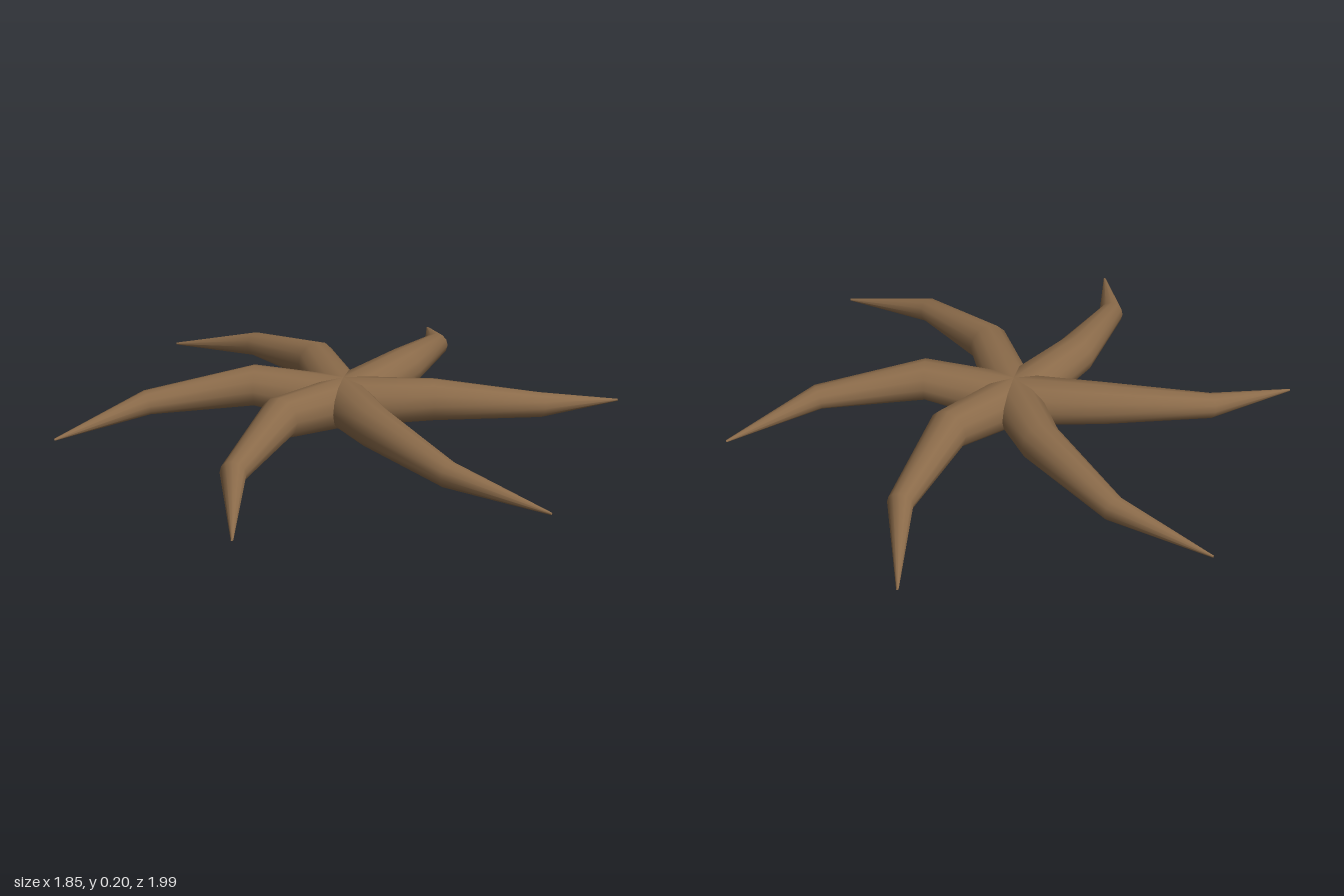
import * as THREE from 'three';

const SIDES = 12;

// Tapered tube through the given stations [x, y, z, radius], one ring per station
function taperedTube(stations) {
  const centres = stations.map(([x, y, z]) => new THREE.Vector3(x, y, z));
  const dirs = centres.slice(1).map((p, i) => p.clone().sub(centres[i]).normalize());
  const up = new THREE.Vector3(0, 1, 0);
  const positions = [], indices = [];

  centres.forEach((centre, i) => {
    // Each ring bisects the bend between its two segments
    const before = dirs[Math.max(i - 1, 0)];
    const after = dirs[Math.min(i, dirs.length - 1)];
    const tangent = before.clone().add(after).normalize();
    const side = new THREE.Vector3().crossVectors(tangent, up).normalize();
    const top = new THREE.Vector3().crossVectors(side, tangent);
    for (let j = 0; j < SIDES; j++) {
      const a = (j / SIDES) * Math.PI * 2;
      const p = centre.clone()
        .addScaledVector(side, Math.cos(a) * stations[i][3])
        .addScaledVector(top, Math.sin(a) * stations[i][3]);
      positions.push(p.x, p.y, p.z);
    }
  });

  for (let i = 0; i < stations.length - 1; i++) {
    for (let j = 0; j < SIDES; j++) {
      const k = (j + 1) % SIDES;
      const a = i * SIDES + j, b = i * SIDES + k;
      const c = a + SIDES, d = b + SIDES;
      indices.push(a, b, d, a, d, c);
    }
  }

  const geometry = new THREE.BufferGeometry();
  geometry.setAttribute('position', new THREE.Float32BufferAttribute(positions, 3));
  geometry.setIndex(indices);
  geometry.computeVertexNormals();
  return geometry;
}

export function createModel() {
  const group = new THREE.Group();
  group.name = 'rootCluster';

  const bark = new THREE.MeshStandardMaterial({ color: 0x8b6b4a, side: THREE.DoubleSide });
  bark.name = 'brown bark';

  // One root: rises from the centre, arches over, then bends down to a point
  const rootGeometry = taperedTube([
    [0, 0.092, 0, 0.09],
    [0.32, 0.127, -0.003, 0.073],
    [0.672, 0.084, -0.14, 0.044],
    [0.922, 0.024, -0.392, 0.004],
  ]);

  // Six identical roots around the centre
  for (let i = 0; i < 6; i++) {
    const root = new THREE.Mesh(rootGeometry, bark);
    root.name = `root${i + 1}`;
    root.rotation.y = (i * Math.PI) / 3;
    group.add(root);
  }

  return group;
}
